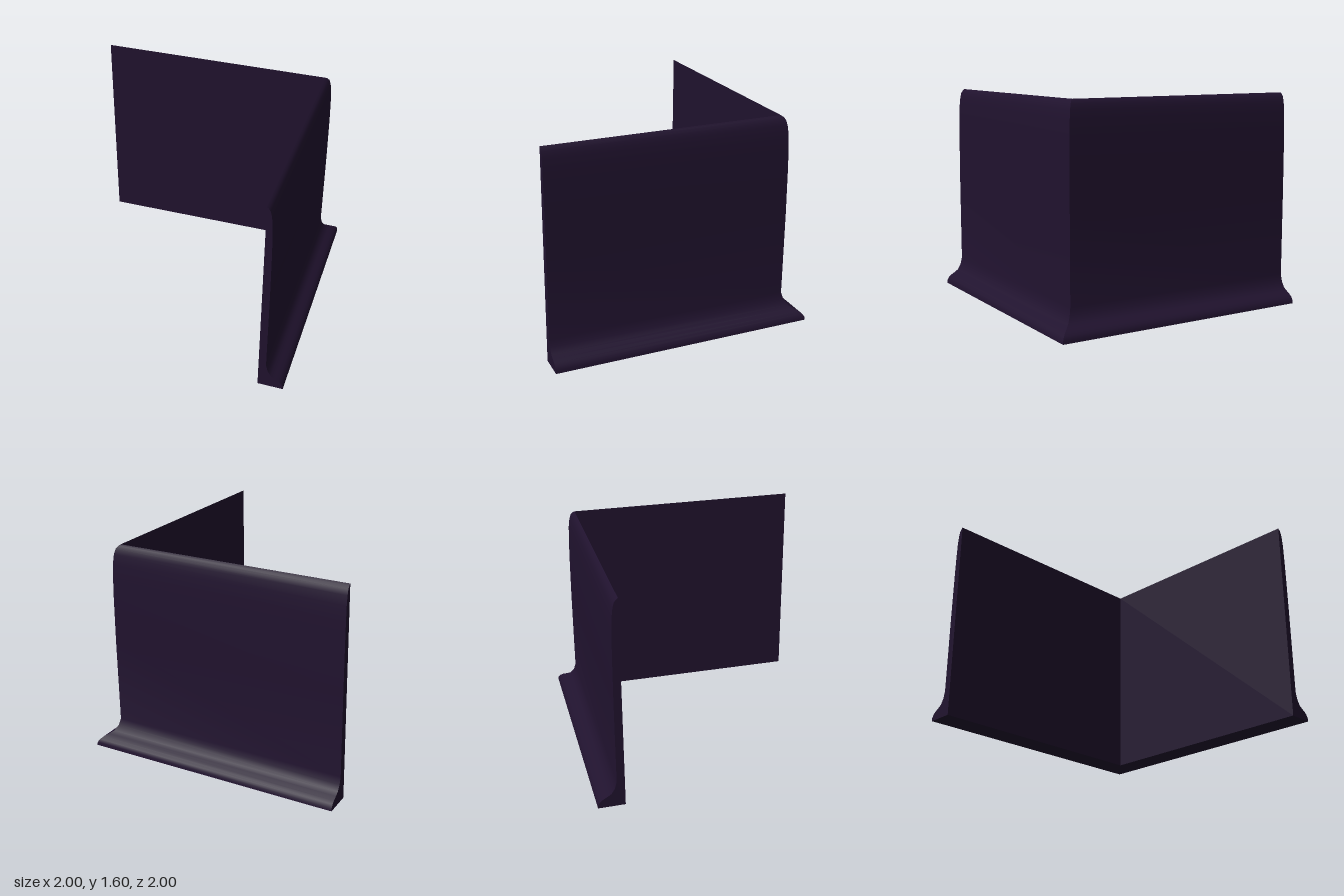
import * as THREE from 'three';
import { toCreasedNormals } from 'three/addons/utils/BufferGeometryUtils.js';

// Wall cross-section: [distance outwards, height], from the top edge down the outer face
const profile = [
  [0.81, 1.6], [0.823, 1.59], [0.837, 1.57], [0.847, 1.53], [0.855, 1.46], [0.859, 1.35],
  [0.862, 1.2], [0.865, 0.85], [0.866, 0.2], [0.88, 0.145], [0.905, 0.103], [0.935, 0.083],
  [0.965, 0.065], [0.985, 0.047], [0.998, 0.025], [1, 0], [0.81, 0],
];

// The back wall is slightly thicker than the side wall
const backZ = (p) => -(1 - (1 - p) * 1.05);

function wallGeometry() {
  // Three mitred stations: right end, outer corner, front end
  const stations = [
    ([p, y]) => [-1, y, backZ(p)],
    ([p, y]) => [p, y, backZ(p)],
    ([p, y]) => [p, y, 1],
  ];
  const positions = [];
  const tri = (...corners) => corners.forEach((c) => positions.push(...c));

  // Skin between stations
  for (let s = 0; s < 2; s++) {
    profile.forEach((point, i) => {
      const next = profile[(i + 1) % profile.length];
      const a = stations[s](point), b = stations[s + 1](point);
      const c = stations[s + 1](next), d = stations[s](next);
      tri(a, b, d);
      tri(b, c, d);
    });
  }

  // End caps
  const outline = profile.map(([p, y]) => new THREE.Vector2(p, y));
  for (const [i, j, k] of THREE.ShapeUtils.triangulateShape(outline, [])) {
    tri(...[i, j, k].map((n) => stations[2](profile[n])));
    tri(...[k, j, i].map((n) => stations[0](profile[n])));
  }

  const geometry = new THREE.BufferGeometry();
  geometry.setAttribute('position', new THREE.Float32BufferAttribute(positions, 3));
  return toCreasedNormals(geometry, 0.6);
}

export function createModel() {
  const group = new THREE.Group();
  group.name = 'cornerWall';
  const material = new THREE.MeshStandardMaterial({ color: 0x20122e, side: THREE.DoubleSide });
  const wall = new THREE.Mesh(wallGeometry(), material);
  wall.name = 'wallWithFlaredBase';
  group.add(wall);
  return group;
}
